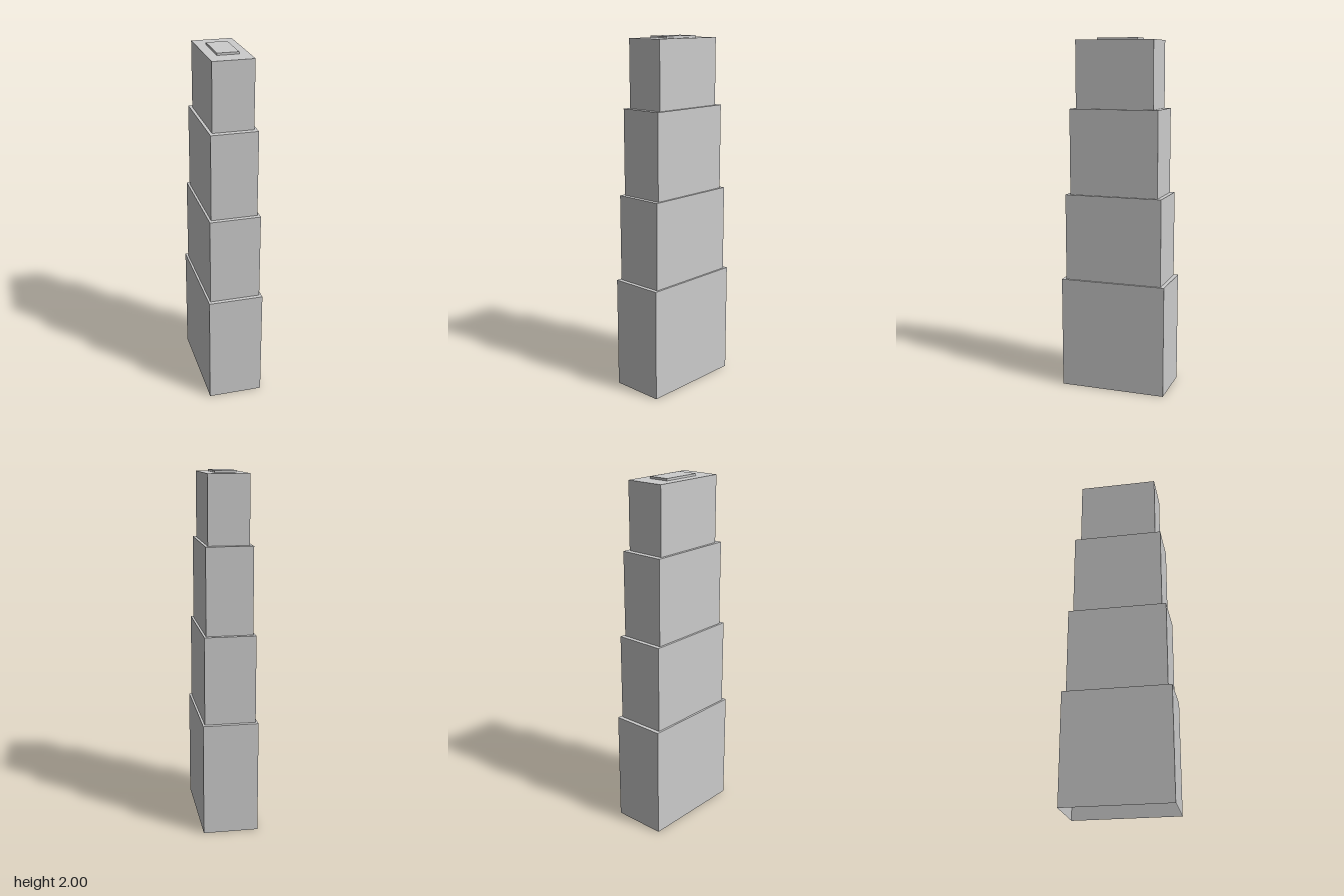
import * as THREE from 'three';

const DEPTH_RATIO = 1.974; // depth of every tier relative to its width

// Square lathe ring, stretched in z: a rectangular shell following [halfWidth, y] points
function rectShell(profile) {
  const points = profile.map(([w, y]) => new THREE.Vector2(w * Math.SQRT2, y));
  const geometry = new THREE.LatheGeometry(points, 4, Math.PI / 4)
    .scale(1, 1, DEPTH_RATIO)
    .toNonIndexed();
  geometry.computeVertexNormals();
  return geometry;
}

export function createModel() {
  const group = new THREE.Group();
  const grey = new THREE.MeshStandardMaterial({ color: 0xcccccc, side: THREE.DoubleSide });
  grey.name = 'concrete grey';

  // Stacked tiers: half width, bottom and top; the base is open underneath
  const tiers = [
    { name: 'baseTier', w: 0.1543, y0: 0, y1: 0.638 },
    { name: 'lowerTier', w: 0.1424, y0: 0.638, y1: 1.131 },
    { name: 'upperTier', w: 0.1297, y0: 1.131, y1: 1.613 },
    { name: 'topTier', w: 0.1134, y0: 1.613, y1: 1.988 },
    { name: 'roofBlock', w: 0.059, y0: 1.988, y1: 2 },
  ];

  // Each tier has four walls and a ledge running in to the next tier
  tiers.forEach(({ name, w, y0, y1 }, i) => {
    const next = tiers[i + 1];
    const walls = [[w, y0], [w, y1]];
    const mesh = new THREE.Mesh(rectShell(next ? [...walls, [next.w, y1]] : walls), grey);
    mesh.name = name;
    group.add(mesh);
  });

  // Flat lid on the roof block
  const { w, y1 } = tiers[tiers.length - 1];
  const lid = new THREE.Mesh(
    new THREE.PlaneGeometry(2 * w, 2 * w * DEPTH_RATIO).rotateX(-Math.PI / 2).translate(0, y1, 0),
    grey
  );
  lid.name = 'roofLid';
  group.add(lid);

  return group;
}
